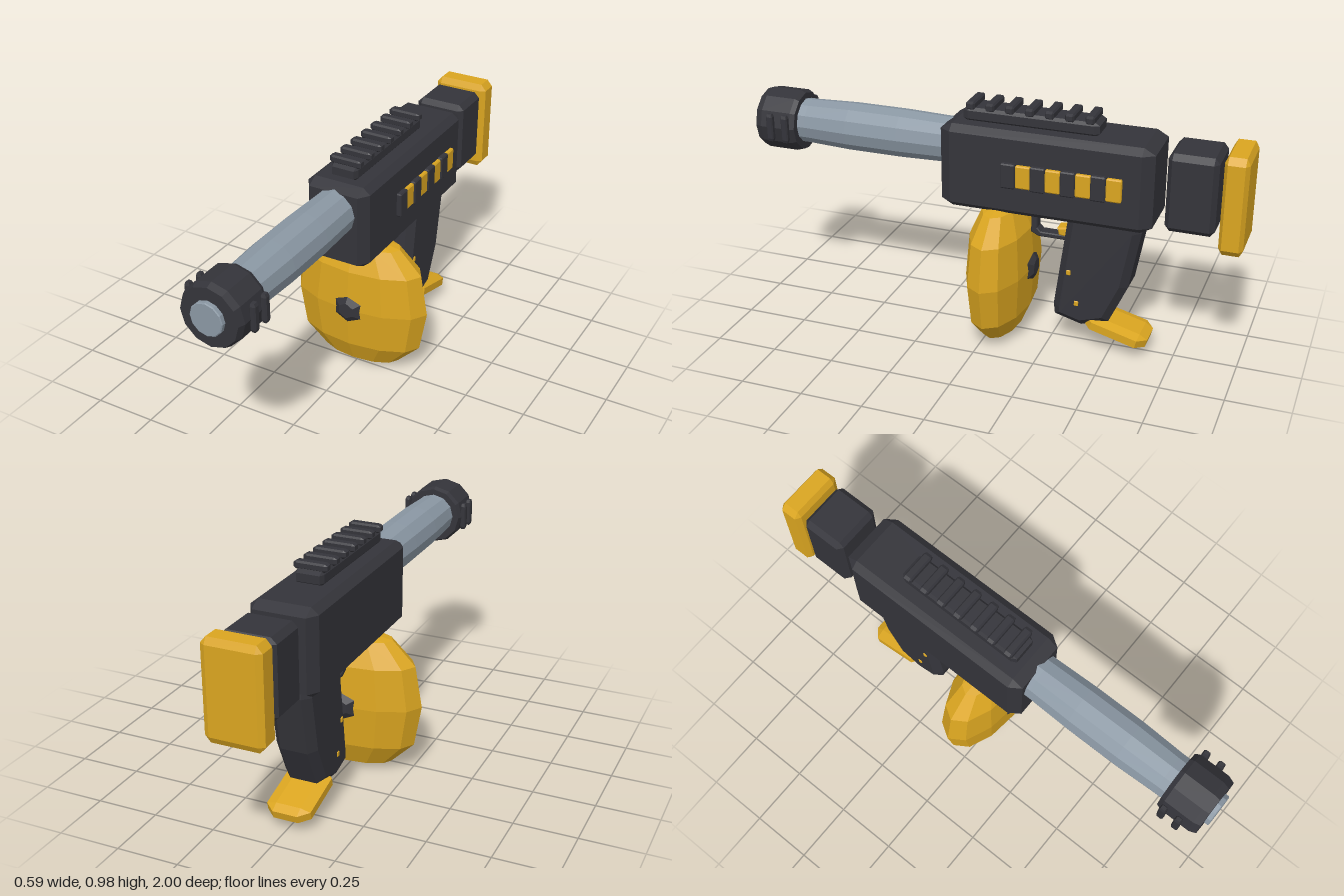
import * as THREE from 'three';
import { ConvexGeometry } from 'three/addons/geometries/ConvexGeometry.js';

// Flat-faced copy of a geometry
function faceted(geo) {
  const g = geo.index ? geo.toNonIndexed() : geo;
  g.computeVertexNormals();
  return g;
}

// Box with half sizes h and cut edges c, one value per axis
function chamferBox(h, c) {
  const pts = [];
  for (const sx of [-1, 1]) for (const sy of [-1, 1]) for (const sz of [-1, 1]) {
    for (let k = 0; k < 3; k++) {
      const p = h.map((v, i) => (i === k ? v : v - c[i]));
      pts.push(new THREE.Vector3(p[0] * sx, p[1] * sy, p[2] * sz));
    }
  }
  return new ConvexGeometry(pts);
}

// Turned shape along z; profile is [radius, z] with z rising
function turnedZ(profile, sides) {
  const g = new THREE.LatheGeometry(profile.map(([r, z]) => new THREE.Vector2(r, z)), sides);
  return faceted(g.rotateX(Math.PI / 2));
}

// Side outline of [z, y] points, extruded across x with a bevel
function sideExtrude(outline, width, bevel) {
  const shape = new THREE.Shape(outline.map(([z, y]) => new THREE.Vector2(z, y)));
  const depth = width - 2 * bevel;
  const g = new THREE.ExtrudeGeometry(shape, {
    depth, bevelEnabled: bevel > 0, bevelThickness: bevel, bevelSize: bevel,
    bevelOffset: -bevel, bevelSegments: 1,
  });
  g.translate(0, 0, -depth / 2);
  return faceted(g.rotateY(-Math.PI / 2));
}

export function createModel() {
  const model = new THREE.Group();
  model.name = 'toyBlaster';

  const mat = (name, color) => {
    const m = new THREE.MeshStandardMaterial({ color });
    m.name = name;
    return m;
  };
  const dark = mat('charcoal', 0x34343a);
  const yellow = mat('golden yellow', 0xdaa520);
  const steel = mat('steel grey', 0x8a97a3);

  const add = (name, geo, material, x = 0, y = 0, z = 0) => {
    const mesh = new THREE.Mesh(geo, material);
    mesh.name = name;
    mesh.position.set(x, y, z);
    model.add(mesh);
    return mesh;
  };

  // Receiver, stock block and butt pad
  add('receiver', chamferBox([0.133, 0.17, 0.42], [0.03, 0.025, 0.045]), dark, 0, 0.735, -0.238);
  add('stockBlock', chamferBox([0.106, 0.155, 0.094], [0.022, 0.022, 0.018]), dark, 0, 0.738, -0.794);
  add('buttPad', chamferBox([0.115, 0.194, 0.046], [0.022, 0.026, 0.014]), yellow, 0, 0.717, -0.951);

  // Barrel, muzzle and bore tip
  add('barrel', turnedZ([[0, 0.12], [0.092, 0.12], [0.092, 0.2], [0.097, 0.38],
    [0.097, 0.6], [0.09, 0.78], [0.09, 0.85], [0, 0.85]], 12), steel, 0, 0.795, 0);
  add('muzzle', turnedZ([[0, 0.812], [0.117, 0.812], [0.126, 0.83], [0.126, 0.955],
    [0.116, 0.982], [0, 0.982]], 12), dark, 0, 0.792, 0);
  add('muzzleTip', turnedZ([[0, 0.96], [0.066, 0.96], [0.066, 0.997], [0.062, 1], [0, 1]], 12),
    steel, 0, 0.793, 0);
  for (const side of [-1, 1]) {
    for (const z of [0.843, 0.908]) {
      add('muzzleRib', chamferBox([0.012, 0.057, 0.014], [0.005, 0.012, 0.005]), dark, side * 0.13, 0.795, z);
    }
  }

  // Top rail with seven teeth
  add('railBase', chamferBox([0.056, 0.028, 0.27], [0.01, 0.012, 0.02]), dark, 0, 0.928, -0.16);
  for (let i = 0; i < 7; i++) {
    add('railTooth', chamferBox([0.067, 0.016, 0.018], [0.012, 0.007, 0.006]), dark,
      0, 0.966, 0.078 - i * 0.0787);
  }

  // Striped panel on the left side
  for (let i = 0; i < 8; i++) {
    const black = i % 2 === 0;
    const h = black ? [0.012, 0.05, 0.029] : [0.01, 0.046, 0.03];
    add(black ? 'panelRib' : 'panelStripe', chamferBox(h, [0.004, 0.005, 0.004]),
      black ? dark : yellow, black ? 0.14 : 0.138, 0.737, -0.104 - i * 0.0588);
  }

  // Flattened drum magazine and its hub
  const drumProfile = [[0, 0.005], [0.17, 0.033], [0.265, 0.127], [0.295, 0.298],
    [0.265, 0.468], [0.17, 0.562], [0, 0.59]].map(([r, y]) => new THREE.Vector2(r, y));
  const drum = new THREE.LatheGeometry(drumProfile, 12);
  drum.scale(1, 1, 0.425);
  add('drum', faceted(drum), yellow, 0, 0, -0.042);
  add('drumHub', turnedZ([[0, -0.136], [0.035, -0.136], [0.068, -0.115], [0.068, 0.115],
    [0.035, 0.136], [0, 0.136]], 6), dark, 0, 0.299, -0.042);

  // Grip and its foot plate
  add('grip', sideExtrude([[-0.325, 0.6], [-0.6, 0.6], [-0.61, 0.54], [-0.567, 0.3],
    [-0.495, 0.14], [-0.385, 0.105], [-0.275, 0.135], [-0.27, 0.18]], 0.17, 0.03), dark);
  const foot = add('footPlate', chamferBox([0.09, 0.028, 0.13], [0.04, 0.012, 0.035]), yellow, 0, 0.099, -0.523);
  foot.rotation.x = -0.26;
  for (const side of [-1, 1]) {
    for (const [y, z] of [[0.34, -0.335], [0.21, -0.37]]) {
      add('gripPin', chamferBox([0.008, 0.011, 0.009], [0.003, 0.003, 0.003]), yellow, side * 0.081, y, z);
    }
  }

  // Trigger guard and trigger
  add('triggerGuard', sideExtrude([[-0.16, 0.59], [-0.16, 0.46], [-0.19, 0.445], [-0.33, 0.445],
    [-0.33, 0.465], [-0.2, 0.465], [-0.185, 0.48], [-0.185, 0.59]], 0.05, 0.004), dark);
  add('trigger', sideExtrude([[-0.268, 0.495], [-0.275, 0.465], [-0.33, 0.46], [-0.33, 0.505]],
    0.06, 0.006), yellow);

  return model;
}
